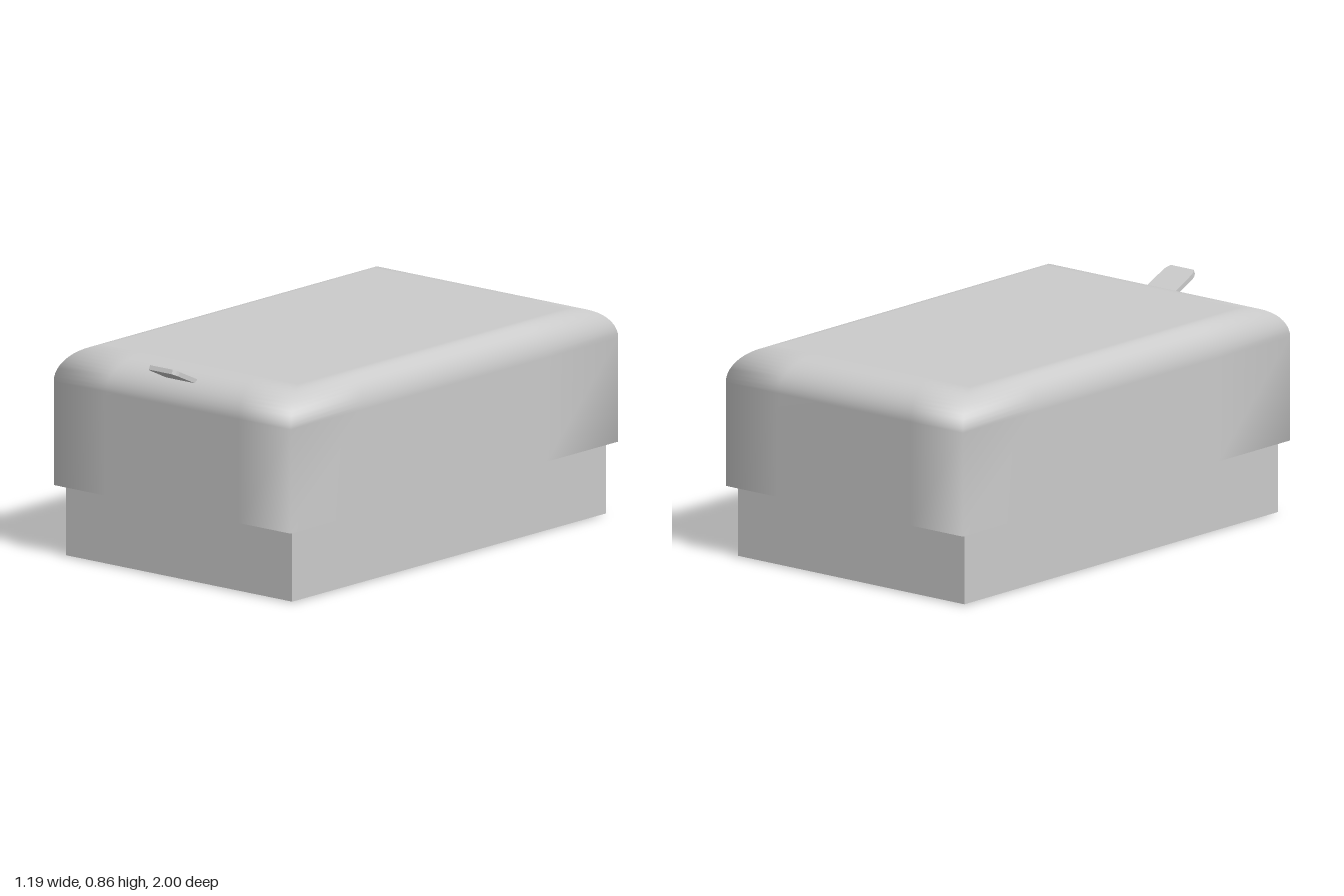
import * as THREE from 'three';

const material = new THREE.MeshStandardMaterial({ color: 0xcccccc });

function part(name, geometry) {
  const mesh = new THREE.Mesh(geometry, material);
  mesh.name = name;
  return mesh;
}

// One rectangular loop, counter-clockwise seen from above, with extra points along each side
function ring(halfX, z0, z1, y) {
  const corners = [[halfX, z1], [halfX, z0], [-halfX, z0], [-halfX, z1]];
  const points = [];
  corners.forEach(([x, z], i) => {
    const [nx, nz] = corners[(i + 1) % 4];
    for (const f of [0, 0.22, 0.78]) points.push(x + (nx - x) * f, y, z + (nz - z) * f);
  });
  return points;
}

// Cover with mitred corners and softly rounded top edges
function coverGeometry() {
  const loops = [ring(0.597, -1, 0.93, 0.285)];
  const steps = 12;
  for (let i = 0; i <= steps; i++) {
    const a = (i / steps) * Math.PI / 2;
    const inset = 1 - Math.cos(a);
    loops.push(ring(0.597 - 0.11 * inset, -1 + 0.17 * inset, 0.93 - 0.17 * inset, 0.695 + 0.13 * Math.sin(a)));
  }
  const n = loops[0].length / 3;
  const positions = loops.flat();
  const index = [];
  for (let r = 0; r < loops.length - 1; r++) {
    for (let i = 0; i < n; i++) {
      const a = r * n + i, b = r * n + (i + 1) % n;
      index.push(a, b, b + n, a, b + n, a + n);
    }
  }
  // Flat roof fan
  const centre = positions.length / 3;
  positions.push(0, 0.825, -0.035);
  const last = (loops.length - 1) * n;
  for (let i = 0; i < n; i++) index.push(last + i, last + (i + 1) % n, centre);
  const geometry = new THREE.BufferGeometry();
  geometry.setAttribute('position', new THREE.Float32BufferAttribute(positions, 3));
  geometry.setIndex(index);
  geometry.computeVertexNormals();
  return geometry;
}

// Thin foot pad with rounded corners
function padGeometry(w, d, r, height) {
  const s = new THREE.Shape();
  s.moveTo(-w + r, -d);
  s.lineTo(w - r, -d);
  s.absarc(w - r, -d + r, r, -Math.PI / 2, 0);
  s.absarc(w - r, d - r, r, 0, Math.PI / 2);
  s.absarc(-w + r, d - r, r, Math.PI / 2, Math.PI);
  s.absarc(-w + r, -d + r, r, Math.PI, Math.PI * 1.5);
  return new THREE.ExtrudeGeometry(s, { depth: height, bevelEnabled: false, curveSegments: 6 }).rotateX(-Math.PI / 2);
}

// Pull tab outline: straight sides, narrowed tip
function tabGeometry() {
  const s = new THREE.Shape([
    [-0.072, 0], [0.072, 0], [0.07, 0.13], [0.066, 0.143], [0.057, 0.158],
    [-0.057, 0.158], [-0.066, 0.143], [-0.07, 0.13],
  ].map(([x, y]) => new THREE.Vector2(x, y)));
  return new THREE.ExtrudeGeometry(s, { depth: 0.018, bevelEnabled: false })
    .rotateX(THREE.MathUtils.degToRad(65))
    .translate(0, 0.79, 0.85);
}

export function createModel() {
  const model = new THREE.Group();
  model.name = 'coveredBox';

  model.add(part('cover', coverGeometry()));

  const underside = new THREE.PlaneGeometry(1.194, 1.93).rotateX(Math.PI / 2).translate(0, 0.285, -0.035);
  model.add(part('coverUnderside', underside));

  const base = new THREE.BoxGeometry(1.14, 0.281, 1.85).translate(0, 0.1455, -0.035);
  model.add(part('base', base));

  model.add(part('footPad', padGeometry(0.557, 0.907, 0.05, 0.006).translate(0, 0, -0.035)));
  model.add(part('pullTab', tabGeometry()));

  return model;
}
